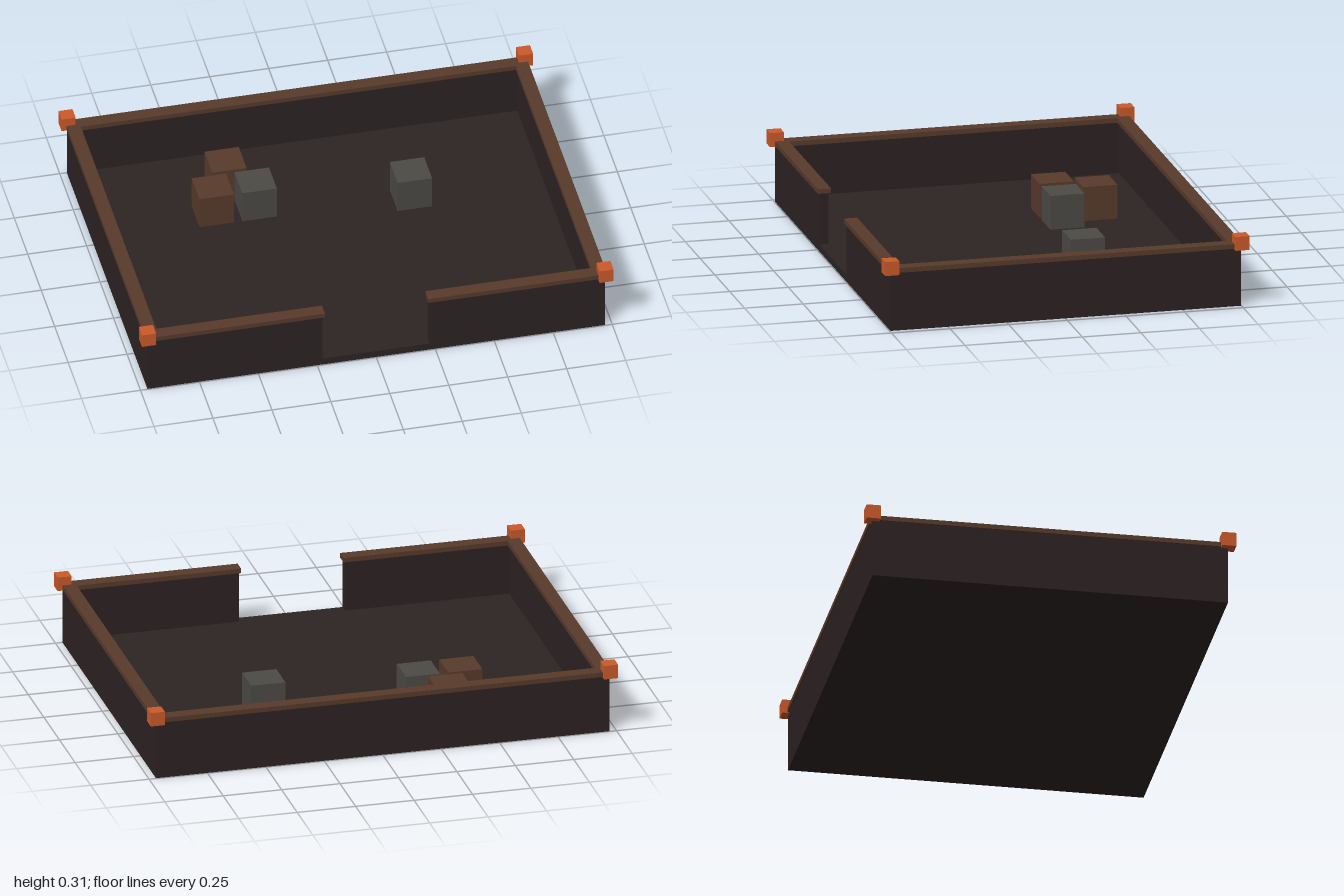
import * as THREE from 'three';

const mat = (name, color) => {
  const m = new THREE.MeshStandardMaterial({ color });
  m.name = name;
  return m;
};

export function createModel() {
  const root = new THREE.Group();
  root.name = 'walledYard';
  const dark = mat('darkStone', 0x2d2323);
  const brown = mat('brownWood', 0x583a2b);
  const orange = mat('emberOrange', 0xcb5a2b);
  const grey = mat('greyStone', 0x4c4a45);

  // Box given by its minimum and maximum on each axis
  const box = (name, material, [x0, x1], [y0, y1], [z0, z1]) => {
    const mesh = new THREE.Mesh(new THREE.BoxGeometry(x1 - x0, y1 - y0, z1 - z0), material);
    mesh.position.set((x0 + x1) / 2, (y0 + y1) / 2, (z0 + z1) / 2);
    mesh.name = name;
    root.add(mesh);
  };

  const X = 0.97, Z = 0.747, T = 0.04;       // outer half sizes, wall thickness
  const floorY = 0.03, wallY = 0.25, capY = 0.27;
  const gate = 0.227, lip = 0.008;           // half gateway, overhang of the caps
  const wallH = [floorY, wallY], capH = [wallY, capY];

  // Floor slab
  box('floor', dark, [-X, X], [0, floorY], [-Z, Z]);

  // Back wall and its cap
  box('backWall', dark, [-X, X], wallH, [-Z, -Z + T]);
  box('backCap', brown, [-X - lip, X + lip], capH, [-Z - lip, -Z + T + lip]);

  for (const s of [-1, 1]) {
    const side = s > 0 ? 'left' : 'right';
    const span = (a, b) => (s > 0 ? [a, b] : [-b, -a]);

    // Side walls and caps
    box(side + 'Wall', dark, span(X - T, X), wallH, [-Z + T, Z - T]);
    box(side + 'Cap', brown, span(X - T - lip, X + lip), capH, [-Z + T + lip, Z - T - lip]);

    // Front walls either side of the gateway
    box(side + 'FrontWall', dark, span(gate, X), wallH, [Z - T, Z]);
    box(side + 'FrontCap', brown, span(gate - lip, X + lip), capH, [Z - T - lip, Z + lip]);

    // Corner blocks
    for (const t of [-1, 1]) {
      const z = t * Z;
      box(side + (t > 0 ? 'Front' : 'Back') + 'CornerBlock', orange,
        span(X - 0.03, X + 0.03), [0.247, 0.307], [z - 0.03, z + 0.03]);
    }
  }

  // Loose crates and stone blocks on the floor
  const h = 0.073;
  [
    ['crate', brown, -0.453, -0.304],
    ['crate', brown, -0.362, -0.467],
    ['stoneBlock', grey, -0.271, -0.304],
    ['stoneBlock', grey, 0.37, -0.229],
  ].forEach(([name, m, x, z]) =>
    box(name, m, [x - h, x + h], [floorY, floorY + 2 * h], [z - h, z + h]));

  return root;
}
